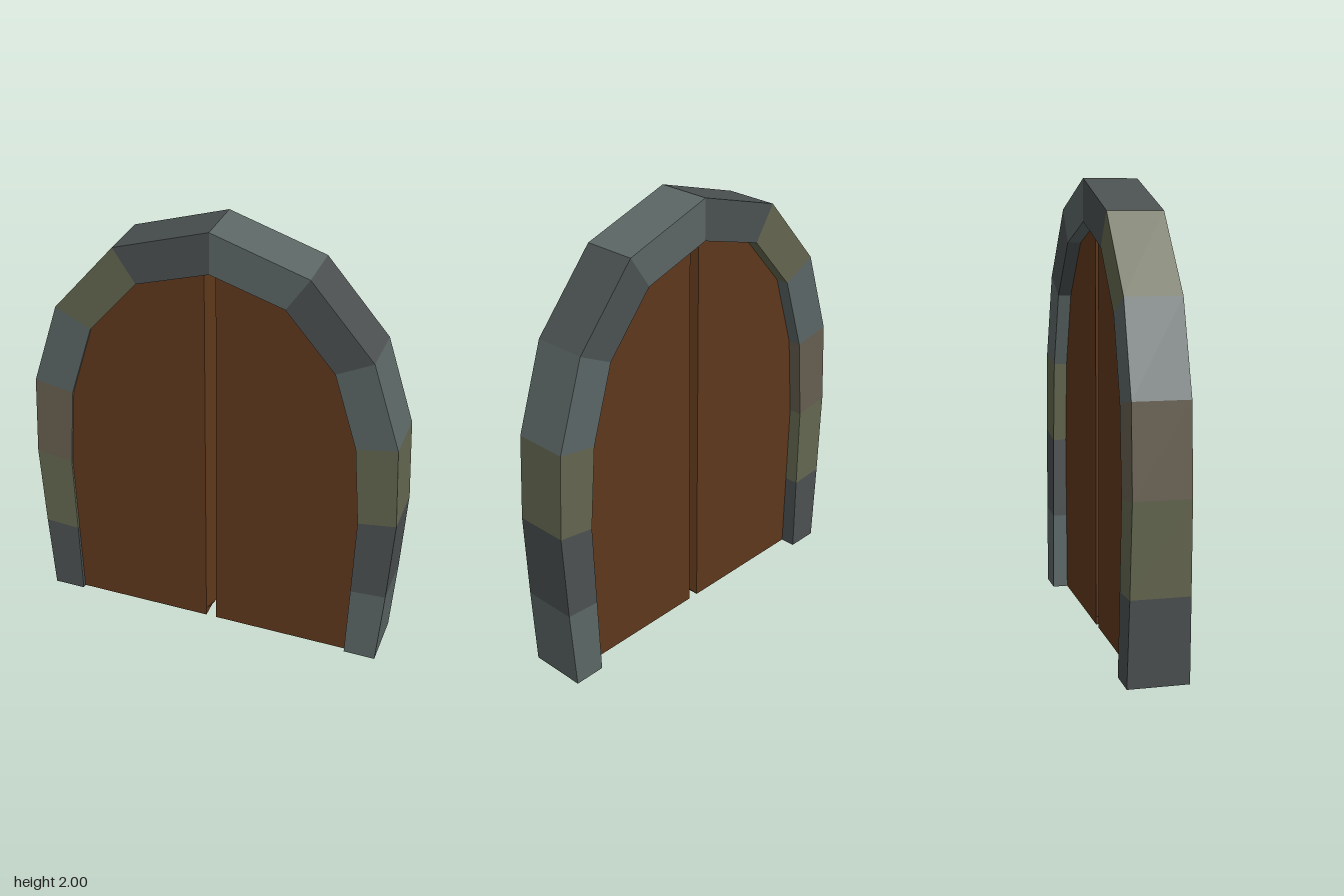
import * as THREE from 'three';

// Half of the arch from the foot to the crown: outer x, y, inner x, y, half depth
const ARCH = [
  [0.805, 0, 0.66, 0, 0.13],
  [0.83, 0.37, 0.67, 0.36, 0.125],
  [0.85, 0.765, 0.68, 0.74, 0.121],
  [0.83, 1.15, 0.65, 1.12, 0.121],
  [0.705, 1.54, 0.545, 1.46, 0.12],
  [0.425, 1.865, 0.325, 1.715, 0.12],
  [0, 2, 0, 1.815, 0.12],
];
const SLATE = 0x4b5051, TEAL = 0x5b6665, OLIVE = 0x63664f, BROWN = 0x665e50;
const STONES = {
  left: [TEAL, SLATE, OLIVE, TEAL, SLATE, TEAL],
  right: [SLATE, OLIVE, BROWN, TEAL, OLIVE, SLATE],
};

// Closed solid through rings of equal length, each counter-clockwise seen from the last ring's end
function loft(rings) {
  const n = rings[0].length, pos = [];
  const tri = (a, b, c) => pos.push(...a, ...b, ...c);
  for (let r = 0; r + 1 < rings.length; r++) {
    const a = rings[r], b = rings[r + 1];
    for (let i = 0; i < n; i++) {
      const j = (i + 1) % n;
      tri(a[i], a[j], b[j]);
      tri(a[i], b[j], b[i]);
    }
  }
  const first = rings[0], last = rings[rings.length - 1];
  for (let i = 1; i + 1 < n; i++) {
    tri(first[0], first[i + 1], first[i]);
    tri(last[0], last[i], last[i + 1]);
  }
  const g = new THREE.BufferGeometry();
  g.setAttribute('position', new THREE.Float32BufferAttribute(pos, 3));
  g.computeVertexNormals();
  return g;
}

// Flip rings to the other side, keeping the faces outward
const mirror = (rings, s) =>
  s > 0 ? rings : rings.map((r) => r.map(([x, y, z]) => [-x, y, z]).reverse());

function part(name, rings, color) {
  const m = new THREE.Mesh(loft(rings),
    new THREE.MeshStandardMaterial({ color, flatShading: true }));
  m.name = name;
  return m;
}

const section = ([ox, oy, ix, iy, d]) =>
  [[ox, oy, d], [ox, oy, -d], [ix, iy, -d], [ix, iy, d]];

// Door leaf outline, tucked a little into the stones; edgeX is the meeting edge
function leafRing(z, edgeX) {
  const t = 0.35;
  const rim = ARCH.slice(0, 6).map(([ox, oy, ix, iy]) =>
    [ix + (ox - ix) * t, iy + (oy - iy) * t, z]);
  return [...rim, [0.025, 1.82, z], [edgeX, 1.78, z], [edgeX, 0.04, z], [0.025, 0, z]];
}

export function createModel() {
  const model = new THREE.Group();
  model.name = 'archedDoorway';
  const arch = new THREE.Group();
  arch.name = 'stoneArch';
  const door = new THREE.Group();
  door.name = 'doubleDoor';
  model.add(arch, door);

  for (const [side, s] of [['left', 1], ['right', -1]]) {
    // Stone blocks from foot to crown
    STONES[side].forEach((color, i) => {
      const rings = [section(ARCH[i]), section(ARCH[i + 1])];
      arch.add(part(`${side}Stone${i + 1}`, mirror(rings, s), color));
    });

    // Wooden leaf with a pointed meeting edge, set nearer the front than the back
    const leaf = [leafRing(-0.06, 0.025), leafRing(0.025, 0), leafRing(0.11, 0.025)];
    door.add(part(`${side}DoorLeaf`, mirror(leaf, s), 0x5f381c));
  }
  return model;
}
